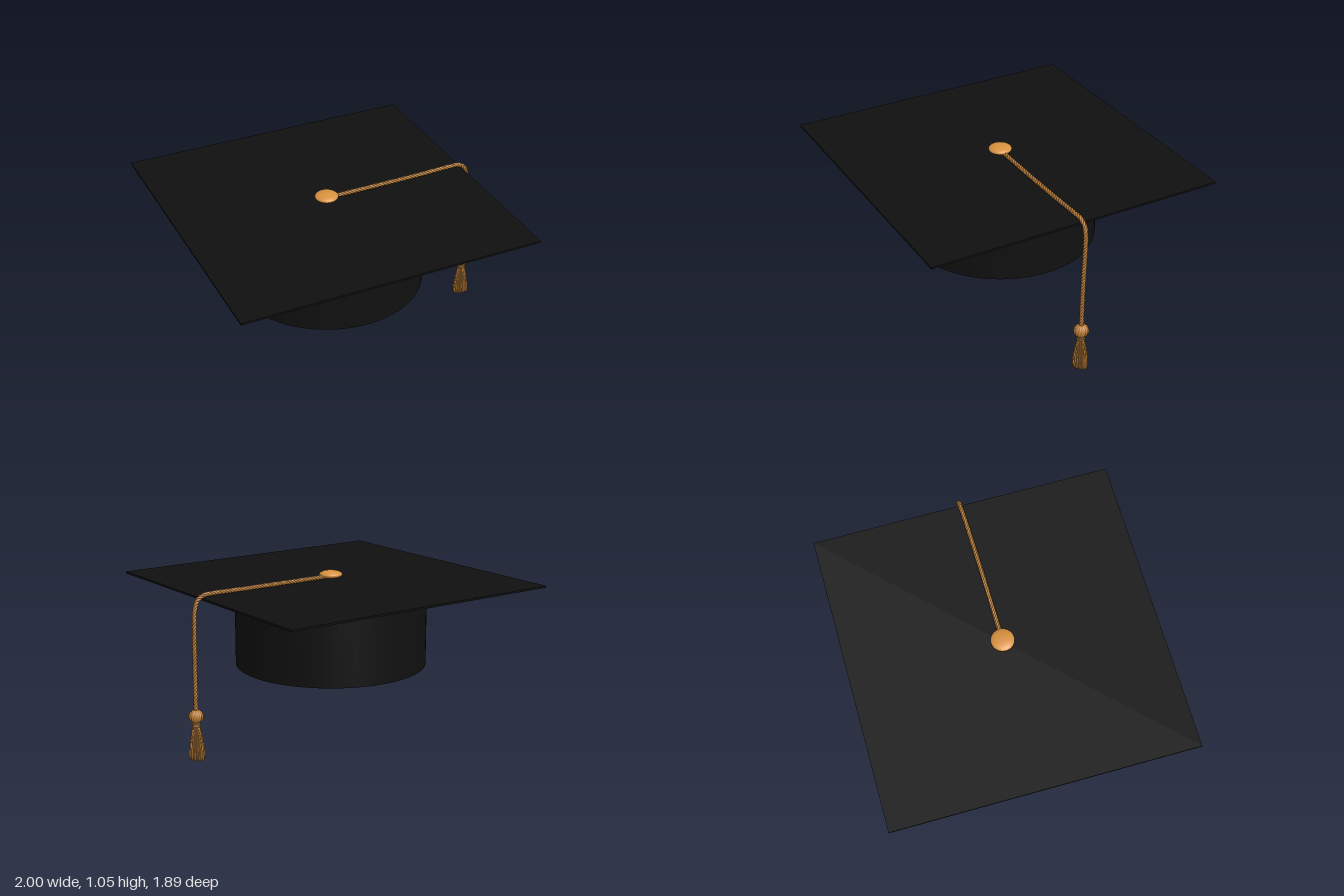
import * as THREE from 'three';
import { mergeVertices } from 'three/addons/utils/BufferGeometryUtils.js';

const CX = -0.053; // centre of board, cap and button
const TX = 0.945; // x of the hanging tassel

const black = new THREE.MeshStandardMaterial({ color: 0x101010 });
const blackThin = new THREE.MeshStandardMaterial({ color: 0x101010, side: THREE.DoubleSide });
const gold = new THREE.MeshStandardMaterial({ color: 0xd8923f });
const cordGold = new THREE.MeshStandardMaterial({ color: 0xb57a35 });

function addMesh(parent, name, geometry, material, x = 0, y = 0, z = 0) {
  const mesh = new THREE.Mesh(geometry, material);
  mesh.name = name;
  mesh.position.set(x, y, z);
  parent.add(mesh);
  return mesh;
}

// One strand wound as a helix around a path lying close to the xy plane
class HelixStrand extends THREE.Curve {
  constructor(path, offset, turns, phase) {
    super();
    Object.assign(this, { path, offset, turns, phase, arcLengthDivisions: 1200 });
  }
  getPoint(t, target = new THREE.Vector3()) {
    const side = new THREE.Vector3(0, 0, 1);
    const up = side.clone().cross(this.path.getTangentAt(t)).normalize();
    const a = t * this.turns * Math.PI * 2 + this.phase;
    return target.copy(this.path.getPointAt(t))
      .addScaledVector(up, Math.cos(a) * this.offset)
      .addScaledVector(side, Math.sin(a) * this.offset);
  }
}

// Turned profile with raised ribs, optionally spiralling with height
function ribbedLathe(profile, ribs, depth, twist) {
  const geometry = new THREE.LatheGeometry(profile.map(([r, y]) => new THREE.Vector2(r, y)), ribs * 6);
  const p = geometry.attributes.position;
  for (let i = 0; i < p.count; i++) {
    const angle = Math.atan2(p.getZ(i), p.getX(i));
    const k = 1 + depth * Math.cos(ribs * angle + twist * p.getY(i));
    p.setX(i, p.getX(i) * k);
    p.setZ(i, p.getZ(i) * k);
  }
  geometry.deleteAttribute('uv');
  geometry.deleteAttribute('normal');
  const welded = mergeVertices(geometry, 1e-5);
  welded.computeVertexNormals();
  return welded;
}

export function createModel() {
  const model = new THREE.Group();
  model.name = 'graduationCap';

  // Flat square board
  addMesh(model, 'board', new THREE.BoxGeometry(1.895, 0.012, 1.895), black, CX, 0.99, 0);

  // Open, hollow skull cap
  addMesh(model, 'skullCap', new THREE.CylinderGeometry(0.606, 0.606, 0.531, 64, 1, true), blackThin, CX, 0.7205, 0);

  // Flattened button
  const button = addMesh(model, 'button', new THREE.SphereGeometry(0.073, 40, 20), gold, CX, 1.024, 0);
  button.scale.y = 0.34;

  // Twisted cord across the board and over its edge
  const path = new THREE.CatmullRomCurve3([
    [CX, 1.013, 0], [0.3, 1.013, 0], [0.6, 1.014, -0.002], [0.82, 1.016, -0.006], [0.88, 1.012, -0.008],
    [0.922, 0.985, -0.008], [0.941, 0.93, -0.006], [TX, 0.85, -0.004], [TX, 0.58, 0.002], [TX, 0.29, 0.004],
  ].map((p) => new THREE.Vector3(...p)));
  path.arcLengthDivisions = 800;
  const cord = new THREE.Group();
  cord.name = 'cord';
  for (let i = 0; i < 3; i++) {
    const strand = new HelixStrand(path, 0.0065, 26, (i * Math.PI * 2) / 3);
    addMesh(cord, 'cordStrand', new THREE.TubeGeometry(strand, 480, 0.0085, 7), cordGold);
  }
  model.add(cord);

  // Tassel: wound knot, neck binding and ribbed skirt
  const tassel = new THREE.Group();
  tassel.name = 'tassel';
  tassel.position.set(TX, 0, 0.004);
  const ball = [];
  for (let i = 0; i <= 16; i++) {
    const a = -Math.PI / 2 + (i / 16) * Math.PI;
    ball.push([Math.max(0, Math.cos(a)) * 0.045, Math.sin(a) * 0.043]);
  }
  addMesh(tassel, 'knot', ribbedLathe(ball, 14, 0.06, 60), cordGold, 0, 0.272, 0);
  for (const y of [0.212, 0.222, 0.232]) {
    const ring = addMesh(tassel, 'neckBinding', new THREE.TorusGeometry(0.02, 0.006, 8, 24), cordGold, 0, y, 0);
    ring.rotation.x = Math.PI / 2;
  }
  const skirt = ribbedLathe([
    [0, 0.011], [0.02, 0.011], [0.046, 0.011], [0.0455, 0.04], [0.043, 0.08], [0.038, 0.12],
    [0.031, 0.16], [0.023, 0.195], [0.02, 0.22], [0.019, 0.24],
  ], 18, 0.09, 0);
  // Slanted hem, lower at the back
  const p = skirt.attributes.position;
  for (let i = 0; i < p.count; i++) {
    if (p.getY(i) < 0.012) p.setY(i, 0.0105 + p.getZ(i) * 0.2);
  }
  skirt.computeVertexNormals();
  addMesh(tassel, 'skirt', skirt, cordGold);
  model.add(tassel);

  return model;
}
